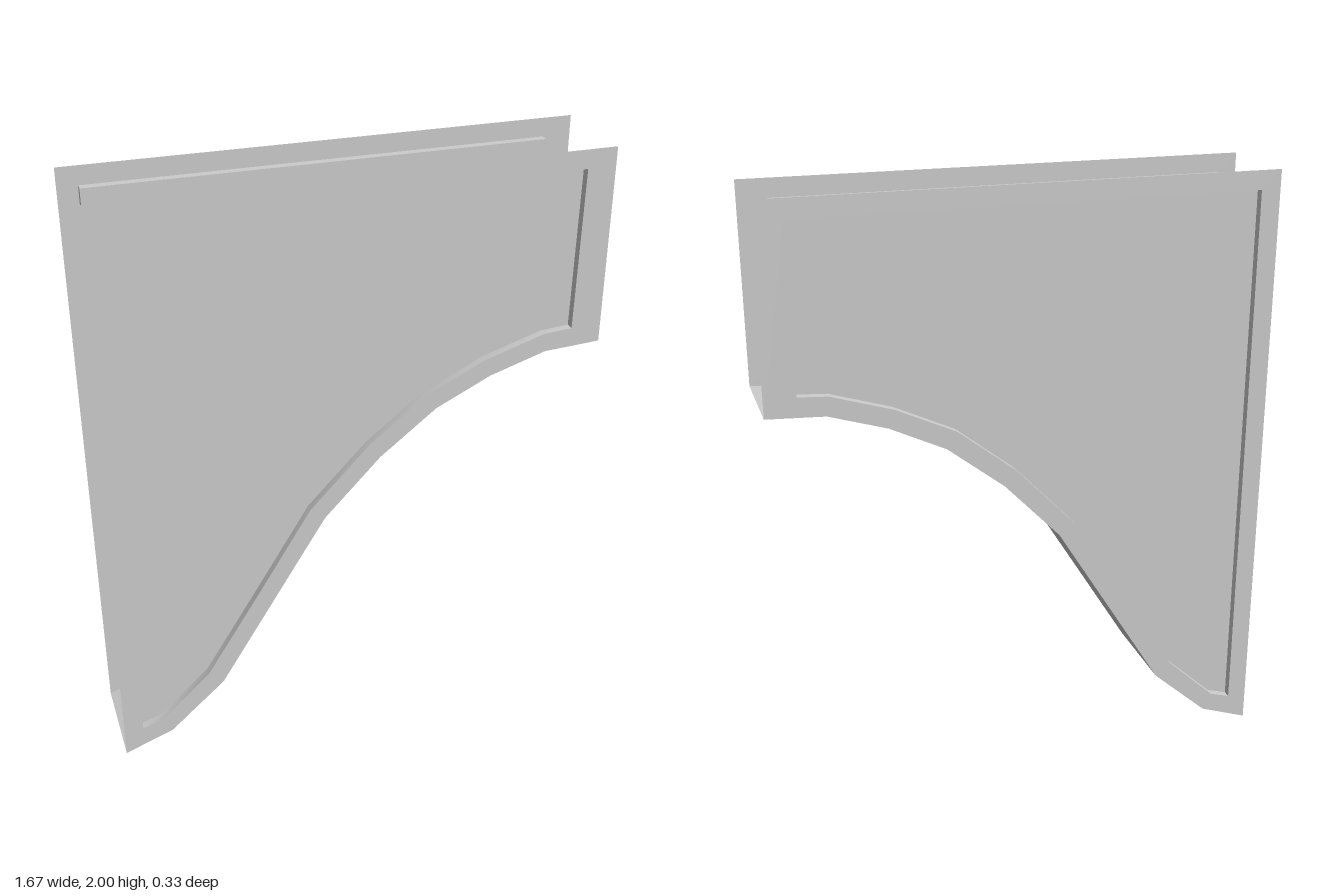
import * as THREE from 'three';
import { toCreasedNormals } from 'three/addons/utils/BufferGeometryUtils.js';

const HALF = 0.165;   // outer face of each side
const INSET = 0.137;  // recessed panel face

// Lower curve of the bracket, from the foot to the tip
const curve = [
  [-0.835, 0], [-0.67, 0.06], [-0.48, 0.23], [-0.295, 0.53], [-0.11, 0.83],
  [0.08, 1.03], [0.27, 1.18], [0.455, 1.27], [0.645, 1.33], [0.835, 1.34],
];
const outline = [...curve, [0.835, 2], [-0.835, 2]];

// Border of the recessed panel
const panel = [
  [-0.77, 0.095], [-0.7, 0.117], [-0.53, 0.275], [-0.345, 0.57], [-0.16, 0.87],
  [0.04, 1.08], [0.235, 1.235], [0.435, 1.33], [0.635, 1.393], [0.733, 1.4],
  [0.74, 1.938], [-0.77, 1.938],
];

const toPoints = (list) => list.map(([x, y]) => new THREE.Vector2(x, y));

// Sheet that follows a path in x, y and spans z0 to z1
function strip(path, z0, z1) {
  const pos = [], index = [];
  path.forEach(([x, y], i) => {
    pos.push(x, y, z0, x, y, z1);
    const a = i * 2;
    if (i < path.length - 1) index.push(a, a + 2, a + 1, a + 1, a + 2, a + 3);
  });
  const geo = new THREE.BufferGeometry();
  geo.setAttribute('position', new THREE.Float32BufferAttribute(pos, 3));
  geo.setIndex(index);
  return toCreasedNormals(geo, 0.6);
}

export function createModel() {
  const group = new THREE.Group();
  const material = new THREE.MeshStandardMaterial({ color: 0xcccccc, side: THREE.DoubleSide });
  const add = (name, geometry, parent = group) => {
    const mesh = new THREE.Mesh(geometry, material);
    mesh.name = name;
    parent.add(mesh);
    return mesh;
  };

  // Curved underside joining the two sides; the top and ends stay open
  add('curvedUnderside', strip(curve, -HALF, HALF));

  // Each side: flat rim, recess wall and inset panel
  for (const [name, s] of [['frontSide', 1], ['backSide', -1]]) {
    const side = new THREE.Group();
    side.name = name;
    group.add(side);

    const rim = new THREE.Shape(toPoints(outline));
    rim.holes.push(new THREE.Path(toPoints(panel)));
    add('rim', new THREE.ShapeGeometry(rim), side).position.z = s * HALF;

    const inset = new THREE.ShapeGeometry(new THREE.Shape(toPoints(panel)));
    add('insetPanel', inset, side).position.z = s * INSET;

    add('recessWall', strip([...panel, panel[0]], s * INSET, s * HALF), side);
  }
  return group;
}
